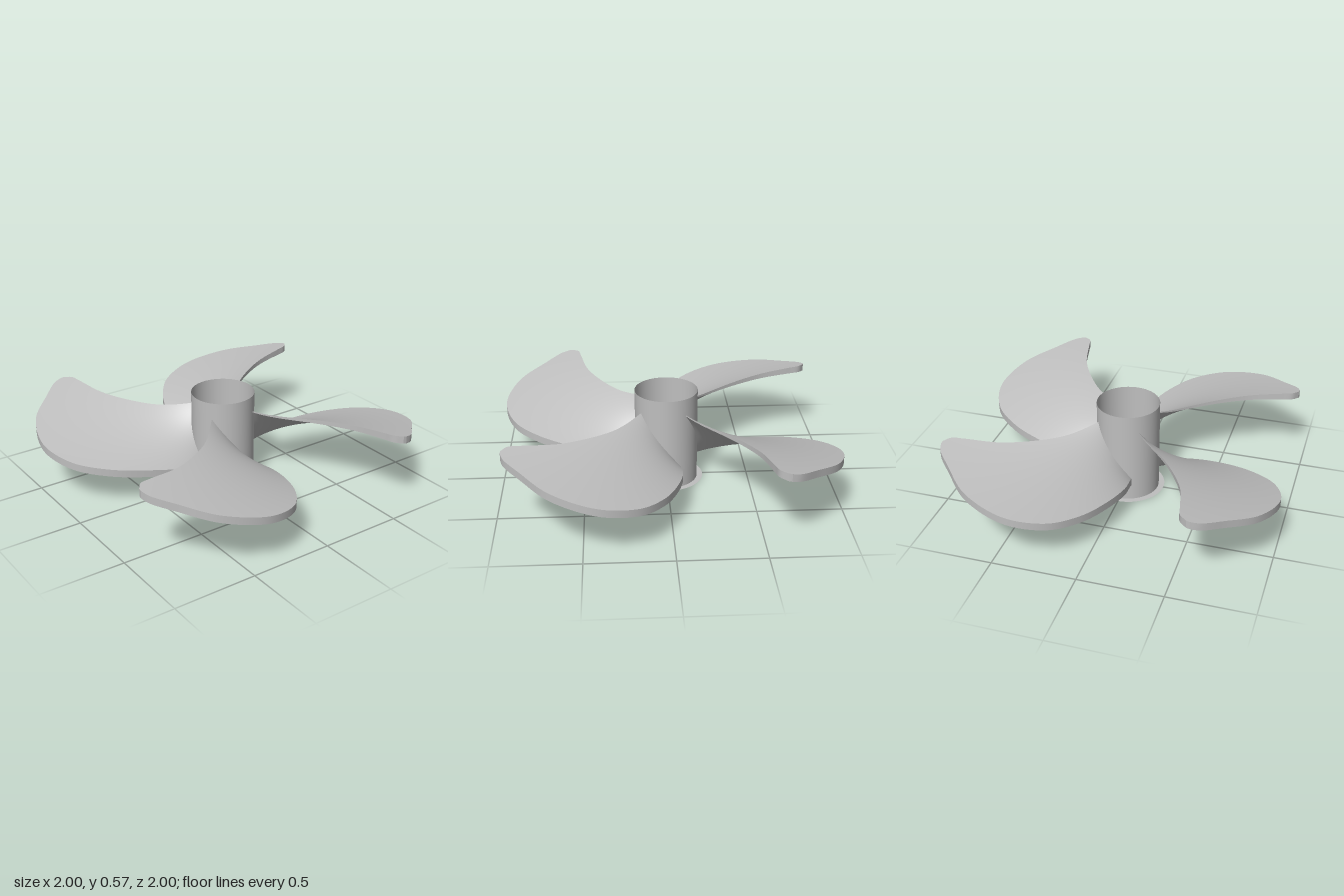
import * as THREE from 'three';
import { mergeGeometries } from 'three/addons/utils/BufferGeometryUtils.js';

const HUB_R = 0.19, HUB_H = 0.57;

// Blade edges in plan, as [x, z] from hub to tip
const curve = (pts) => new THREE.CatmullRomCurve3(pts.map(([x, z]) => new THREE.Vector3(x, 0, z)));
const leadEdge = curve([[0.1755, -0.0727], [0.35, -0.08], [0.57, -0.035], [0.77, 0.05], [0.93, 0.19],
  [1, 0.405], [0.925, 0.66], [0.765, 0.83], [0.66, 0.925], [0.61, 0.942]]);
const trailEdge = curve([[0.109, 0.1556], [0.31, 0.35], [0.475, 0.62], [0.53, 0.835], [0.548, 0.905], [0.59, 0.94]]);

// Point on the blade: u hub to tip, v leading to trailing edge, w 0 upper face, 1 lower face
function bladePoint(u, v, w) {
  const a = leadEdge.getPointAt(u), b = trailEdge.getPointAt(u);
  const r = THREE.MathUtils.lerp(Math.hypot(a.x, a.z), Math.hypot(b.x, b.z), v);
  const angle = THREE.MathUtils.lerp(Math.atan2(a.z, a.x), Math.atan2(b.z, b.x), v);
  const upper = 0.145 + 0.238 * (angle + 0.393); // helical pitch
  const thickness = 0.045 * (1 - 0.85 * v * (1 - u)); // thins toward the trailing root
  return [r * Math.cos(angle), upper - w * thickness, r * Math.sin(angle)];
}

// Smooth grid surface from a function of s and t
function surface(fn, ns, nt) {
  const pos = [], index = [];
  for (let i = 0; i <= ns; i++)
    for (let j = 0; j <= nt; j++) pos.push(...fn(i / ns, j / nt));
  for (let i = 0; i < ns; i++)
    for (let j = 0; j < nt; j++) {
      const a = i * (nt + 1) + j, b = a + nt + 1;
      index.push(a, a + 1, b, a + 1, b + 1, b);
    }
  const g = new THREE.BufferGeometry();
  g.setAttribute('position', new THREE.Float32BufferAttribute(pos, 3));
  g.setIndex(index);
  g.computeVertexNormals();
  return g;
}

export function createModel() {
  const group = new THREE.Group();
  const grey = new THREE.MeshStandardMaterial({ color: 0xbfbfbf, side: THREE.DoubleSide });
  grey.name = 'light grey';

  const add = (name, geometry) => {
    const mesh = new THREE.Mesh(geometry, grey);
    mesh.name = name;
    group.add(mesh);
    return mesh;
  };

  // Open hub sleeve with a flat ring around its foot
  add('hub', new THREE.CylinderGeometry(HUB_R, HUB_R, HUB_H, 64, 1, true)).position.y = HUB_H / 2;
  add('hubFootRing', new THREE.RingGeometry(HUB_R, 0.225, 64)).rotation.x = Math.PI / 2;

  // Blade: upper and lower faces, edge walls and tip wall
  const blade = mergeGeometries([
    surface((s, t) => bladePoint(s, t, 0), 72, 20),
    surface((s, t) => bladePoint(s, 1 - t, 1), 72, 20),
    surface((s, t) => bladePoint(s, 0, 1 - t), 72, 1),
    surface((s, t) => bladePoint(s, 1, t), 72, 1),
    surface((s, t) => bladePoint(1, s, 1 - t), 4, 1),
  ]);
  for (let k = 0; k < 4; k++) add('blade' + (k + 1), blade).rotation.y = k * Math.PI / 2;

  return group;
}
